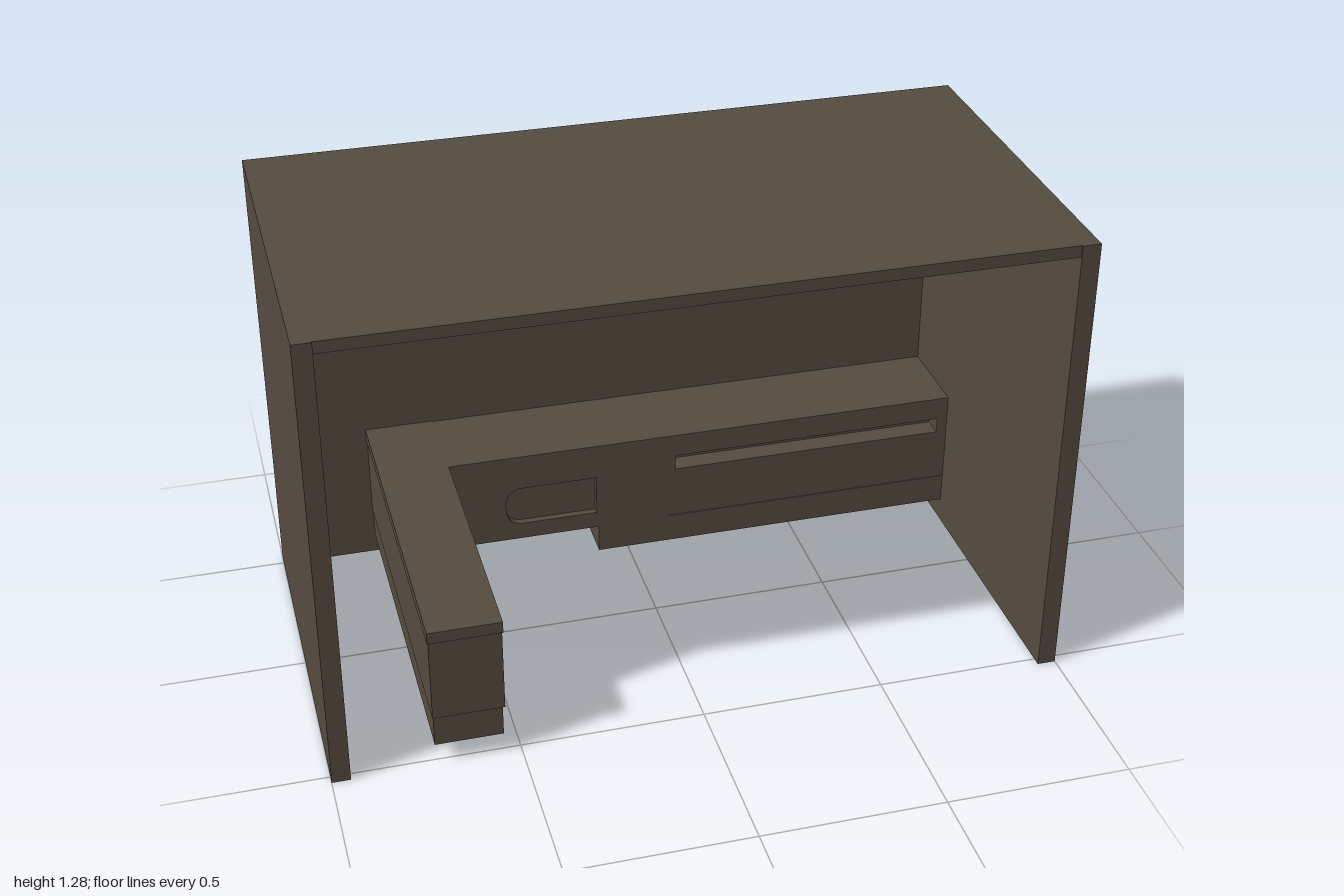
import * as THREE from 'three';

export function createModel() {
  const group = new THREE.Group();
  const brown = new THREE.MeshStandardMaterial({ color: 0x564c41 });
  brown.name = 'dark brown wood';

  const add = (name, geometry) => {
    const mesh = new THREE.Mesh(geometry, brown);
    mesh.name = name;
    group.add(mesh);
    return mesh;
  };
  // Box given by its two opposite corners
  const box = (name, x0, x1, y0, y1, z0, z1) => {
    const g = new THREE.BoxGeometry(x1 - x0, y1 - y0, z1 - z0);
    return add(name, g.translate((x0 + x1) / 2, (y0 + y1) / 2, (z0 + z1) / 2));
  };

  // Booth shell: open at the front and below
  const H = 1.285, D = 0.52, inner = 0.95, backZ = -0.485;
  box('rightWall', -1, -inner, 0, H, -D, D + 0.004);
  box('leftWall', inner, 1, 0, H, -D, D + 0.004);
  box('roof', -inner, inner, 1.252, H, -D, D);
  box('backWall', -inner, inner, 0.008, 1.252, -D, backZ);

  // Small wedge trim at the rear corner
  const wedge = new THREE.Shape([[0, 0], [0.011, 0.01], [0.009, 0.12], [0, 0.3]].map(p => new THREE.Vector2(...p)));
  const trim = add('rearCornerTrim', new THREE.ExtrudeGeometry(wedge, { depth: 0.04, bevelEnabled: false }));
  trim.rotation.y = Math.PI / 2;
  trim.position.set(-1, 0, -D);

  // Counter along the back wall, built as layers with a stepped outline
  const outline = () => new THREE.Shape(
    [[-0.54, 0.15], [-0.11, 0.15], [-0.11, 0.068], [inner, 0.068], [inner, 0.423], [-0.54, 0.423]]
      .map(p => new THREE.Vector2(...p)));
  const slot = new THREE.Path([[0.12, 0.31], [0.12, 0.355], [0.92, 0.355], [0.92, 0.31]].map(p => new THREE.Vector2(...p)));
  const niche = new THREE.Path();
  niche.moveTo(-0.115, 0.2);
  niche.lineTo(-0.115, 0.318);
  niche.lineTo(-0.335, 0.318);
  niche.quadraticCurveTo(-0.38, 0.315, -0.38, 0.26);
  niche.quadraticCurveTo(-0.38, 0.203, -0.335, 0.2);
  niche.closePath();

  const layer = (name, z0, z1, holes) => {
    const s = outline();
    s.holes.push(...holes);
    add(name, new THREE.ExtrudeGeometry(s, { depth: z1 - z0, bevelEnabled: false, curveSegments: 8 }).translate(0, 0, z0));
  };
  layer('counterBody', backZ, -0.29, []);
  layer('counterSlotLayer', -0.29, -0.25, [slot]);
  layer('counterFront', -0.25, -0.23, [slot, niche]);
  // Thin seam on the lower cabinet
  box('cabinetSeam', 0.1, inner, 0.15, 0.154, -0.23, -0.227);

  // Counter arm reaching to the front
  box('armBase', -0.728, -0.546, 0.062, 0.15, backZ, 0.517);
  box('armBody', -0.73, -0.54, 0.15, 0.392, backZ, 0.52);
  box('armTop', -0.733, -0.538, 0.392, 0.425, backZ, 0.528);

  return group;
}
